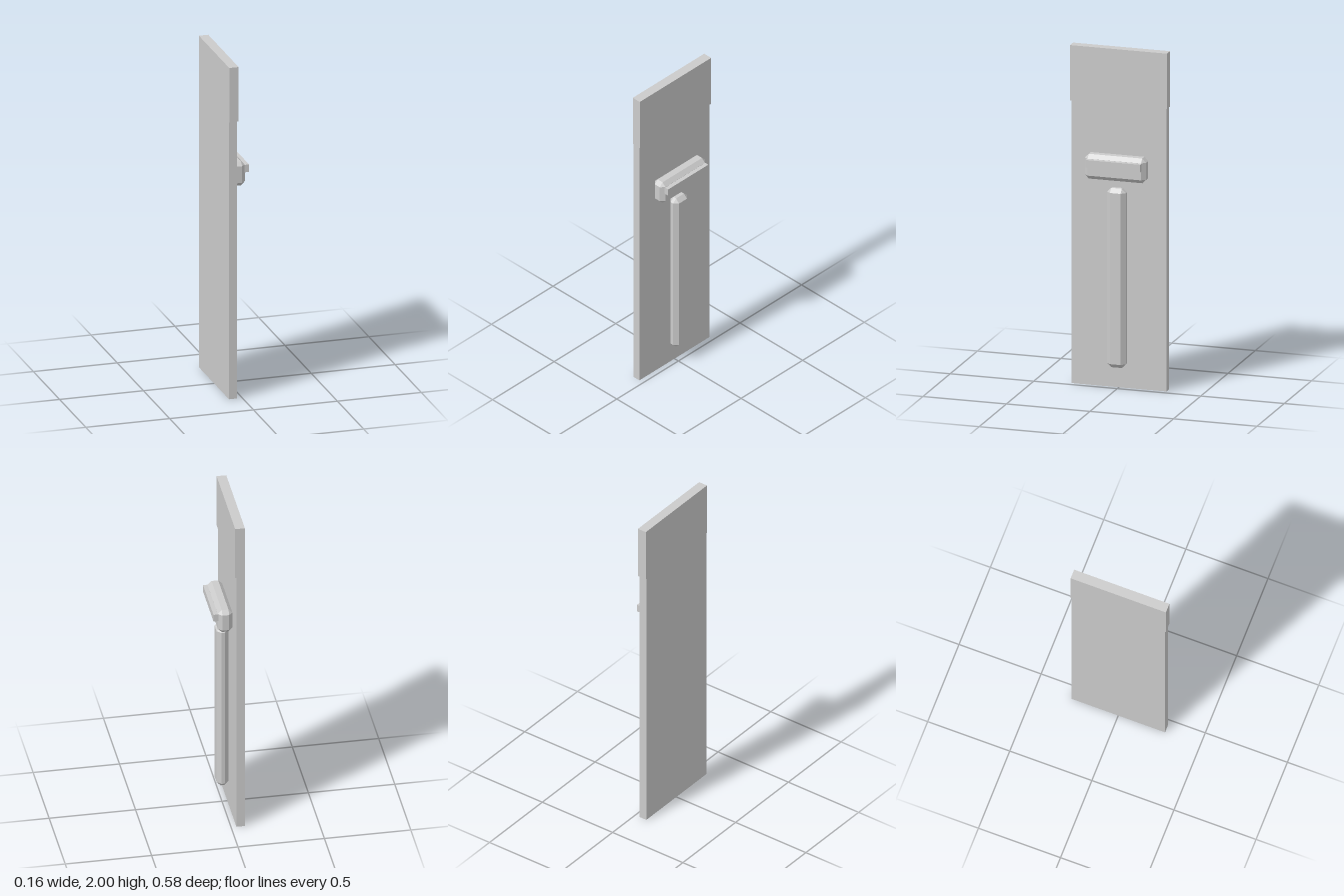
import * as THREE from 'three';
import { ConvexGeometry } from 'three/addons/geometries/ConvexGeometry.js';

const material = new THREE.MeshStandardMaterial({ color: 0xcccccc, flatShading: true });

function addPart(group, name, geometry) {
  const mesh = new THREE.Mesh(geometry, material);
  mesh.name = name;
  group.add(mesh);
}

// Box given by its lowest and highest corners
function boxBetween([x0, y0, z0], [x1, y1, z1]) {
  return new THREE.BoxGeometry(x1 - x0, y1 - y0, z1 - z0)
    .translate((x0 + x1) / 2, (y0 + y1) / 2, (z0 + z1) / 2);
}

// Box with all edges and corners cut by the bevel
function chamferedBox(min, max, bevel) {
  const centre = min.map((v, i) => (v + max[i]) / 2);
  const half = min.map((v, i) => (max[i] - v) / 2);
  const points = [];
  for (let axis = 0; axis < 3; axis++)
    for (const sx of [-1, 1]) for (const sy of [-1, 1]) for (const sz of [-1, 1]) {
      const p = [sx, sy, sz].map((s, i) => centre[i] + s * (half[i] - (i === axis ? 0 : bevel)));
      points.push(new THREE.Vector3(...p));
    }
  return new ConvexGeometry(points);
}

export function createModel() {
  const group = new THREE.Group();
  group.name = 'panelWithHandles';

  // Tall plate with a slightly larger cap at the top
  addPart(group, 'lowerPanel', boxBetween([-0.079, 0, -0.285], [-0.031, 1.672, 0.285]));
  addPart(group, 'upperPanel', boxBetween([-0.079, 1.672, -0.29], [-0.023, 2, 0.29]));

  // Bevelled upright grip
  addPart(group, 'verticalGrip', chamferedBox([-0.031, 0.128, -0.056], [0.037, 1.188, 0.056], 0.024));

  // Bevelled cross block with a thin ledge on its face
  addPart(group, 'crossBlock', chamferedBox([-0.031, 1.237, -0.183], [0.054, 1.383, 0.183], 0.023));
  addPart(group, 'ledge', boxBetween([0.03, 1.314, -0.163], [0.079, 1.359, 0.163]));

  return group;
}
